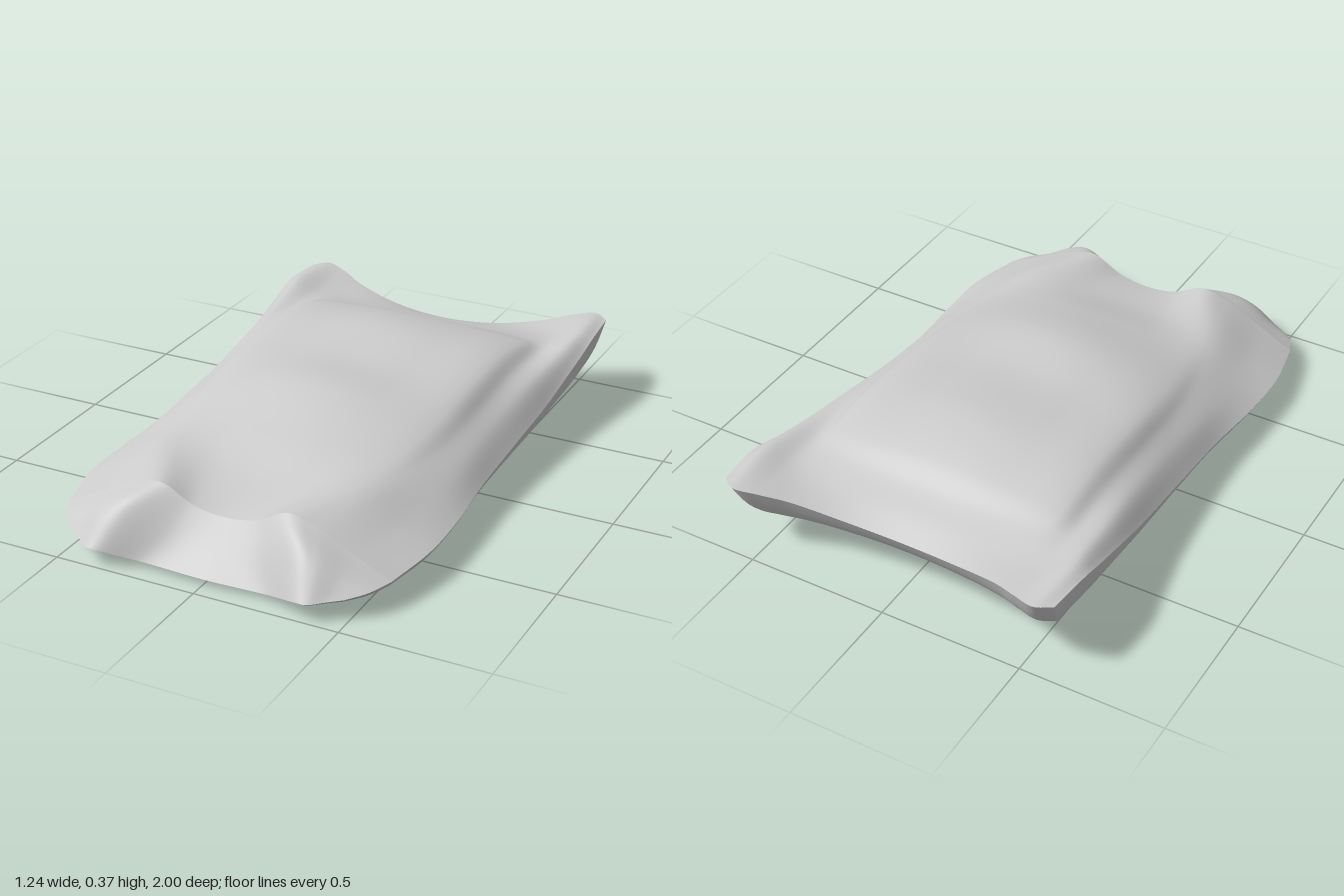
import * as THREE from 'three';
import { mergeVertices } from 'three/addons/utils/BufferGeometryUtils.js';

// Half cross-sections, [z, centre ... rim] with points [x, y, optional z].
const DECK = [
  [-0.95, [0, 0.2, -0.88], [0.2, 0.212, -0.895], [0.38, 0.245, -0.935], [0.47, 0.268, -0.975], [0.55, 0.28, -1], [0.603, 0.275, -0.965]],
  [-0.8, [0, 0.235], [0.2, 0.24], [0.4, 0.25], [0.48, 0.262], [0.57, 0.292], [0.616, 0.272]],
  [-0.7, [0, 0.27], [0.2, 0.27], [0.4, 0.268], [0.48, 0.265], [0.565, 0.283], [0.614, 0.247]],
  [-0.6, [0, 0.322], [0.2, 0.316], [0.42, 0.295], [0.48, 0.268], [0.56, 0.268], [0.61, 0.222]],
  [-0.4, [0, 0.365], [0.2, 0.353], [0.42, 0.322], [0.48, 0.277], [0.55, 0.247], [0.604, 0.178]],
  [-0.1, [0, 0.345], [0.2, 0.34], [0.42, 0.31], [0.48, 0.255], [0.54, 0.21], [0.597, 0.14]],
  [0.15, [0, 0.356], [0.2, 0.336], [0.41, 0.28], [0.47, 0.235], [0.54, 0.185], [0.598, 0.118]],
  [0.4, [0, 0.288], [0.18, 0.28], [0.37, 0.252], [0.43, 0.227], [0.53, 0.165], [0.616, 0.106]],
  [0.6, [0, 0.215], [0.15, 0.222], [0.31, 0.246], [0.38, 0.233], [0.51, 0.157], [0.617, 0.102]],
  [0.8, [0, 0.17], [0.11, 0.186], [0.225, 0.24], [0.32, 0.218], [0.47, 0.145], [0.58, 0.09]],
];
const NOSE = [
  DECK[DECK.length - 1],
  [0.89, [0, 0.095, 0.87], [0.15, 0.108, 0.87], [0.295, 0.185, 0.89], [0.37, 0.165, 0.9], [0.46, 0.115], [0.54, 0.082, 0.88]],
  [0.95, [0, 0.022, 0.945], [0.22, 0.024, 0.94], [0.355, 0.06, 0.995], [0.39, 0.062, 0.995], [0.44, 0.066, 0.96], [0.485, 0.07, 0.93]],
];

const sample = (points, n) => new THREE.CatmullRomCurve3(points).getPoints(n);

// Smooth patch through mirrored cross-sections, back to front, right to left
function loft(sections, across, along) {
  const rows = sections.map(([z, ...pts]) => {
    const half = pts.map((p) => new THREE.Vector3(p[0], p[1], p[2] ?? z));
    const other = half.slice(1).reverse().map((p) => new THREE.Vector3(-p.x, p.y, p.z));
    return [...other, ...half];
  });
  const columns = rows[0].map((_, c) => sample(rows.map((r) => r[c]), along));
  return columns[0].map((_, v) => sample(columns.map((c) => c[v]), across));
}

// Skin a grid of points and weld it for smooth normals
function skin(name, grid, material) {
  const width = grid[0].length, index = [];
  for (let r = 0; r < grid.length - 1; r++) {
    for (let c = 0; c < width - 1; c++) {
      const a = r * width + c, b = a + width;
      index.push(a, b, a + 1, a + 1, b, b + 1);
    }
  }
  let geometry = new THREE.BufferGeometry().setFromPoints(grid.flat());
  geometry.setIndex(index);
  geometry = mergeVertices(geometry, 1e-5);
  geometry.computeVertexNormals();
  const mesh = new THREE.Mesh(geometry, material);
  mesh.name = name;
  return mesh;
}

export function createModel() {
  const group = new THREE.Group();
  group.name = 'hoverBody';
  const material = new THREE.MeshStandardMaterial({ color: 0xcccccc, side: THREE.DoubleSide });

  // Upper shell and sloping nose, meeting in a crease
  const deck = loft(DECK, 120, 126);
  const nose = loft(NOSE, 120, 28);
  group.add(skin('upperDeck', deck, material), skin('nose', nose, material));

  // Rim loop around the whole shell
  const shell = [...deck, ...nose.slice(1)];
  const last = shell.length - 1;
  const rim = [
    ...shell[0],
    ...shell.slice(1).map((r) => r[r.length - 1]),
    ...shell[last].slice(0, -1).reverse(),
    ...shell.slice(0, last).reverse().map((r) => r[0]),
  ];

  // Hull: rim drops steeply, flattens, then turns into the floor
  const profile = sample([[0, 1], [0.13, 0.66], [0.27, 0.46], [0.53, 0.32], [0.8, 0.16], [0.92, 0.05], [1, 0]]
    .map(([s, h]) => new THREE.Vector3(s, h, 0)), 18);
  const floorEdge = rim.map((p) => new THREE.Vector3(
    p.x * 0.74, 0, THREE.MathUtils.clamp(p.z * 0.72 + 0.05, -0.62, 0.745)));
  const hull = rim.map((p, i) => profile.map(({ x: s, y: h }) =>
    new THREE.Vector3().lerpVectors(p, floorEdge[i], s).setY(p.y * h)));
  group.add(skin('hullSide', hull, material));

  // Flat floor
  const floor = floorEdge.map((p) => [p, new THREE.Vector3(0, 0, 0.05)]);
  group.add(skin('floor', floor, material));
  return group;
}
